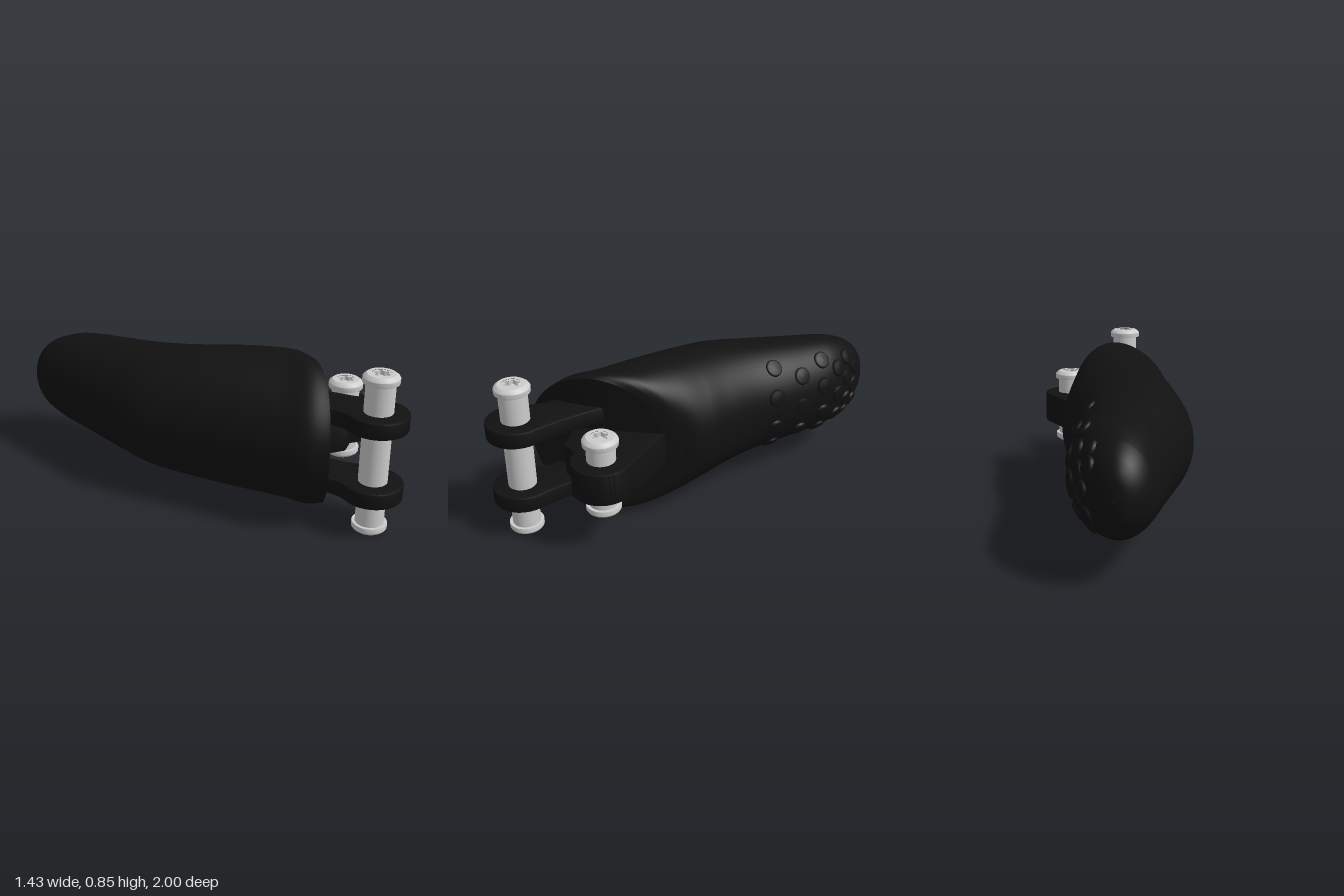
import * as THREE from 'three';
import { toCreasedNormals } from 'three/addons/utils/BufferGeometryUtils.js';
import { ParametricGeometry } from 'three/addons/geometries/ParametricGeometry.js';

const MID_Y = 0.43;
const black = new THREE.MeshStandardMaterial({ color: 0x111111 });
const metal = new THREE.MeshStandardMaterial({ color: 0xcccccc });

// Grip sections: left edge x,z | right edge x,z | half height, forward bulge
const SECTIONS = [
  [-0.615, -0.998, -0.605, -0.998, 0.005, 0],
  [-0.665, -0.97, -0.54, -0.998, 0.10, 0],
  [-0.70, -0.92, -0.46, -0.965, 0.17, 0],
  [-0.715, -0.84, -0.37, -0.905, 0.225, 0],
  [-0.69, -0.70, -0.26, -0.81, 0.27, 0],
  [-0.63, -0.48, -0.13, -0.62, 0.295, 0],
  [-0.57, -0.25, 0.02, -0.38, 0.32, 0],
  [-0.50, -0.02, 0.15, -0.23, 0.345, 0],
  [-0.38, 0.16, 0.25, -0.12, 0.365, 0.01],
  [-0.20, 0.40, 0.29, -0.05, 0.385, 0.04],
  [-0.02, 0.65, 0.305, 0.03, 0.397, 0.09],
  [0.07, 0.78, 0.312, 0.08, 0.40, 0.09],
  [0.165, 0.84, 0.315, 0.13, 0.385, 0.07],
];
const curve = (f) => new THREE.CatmullRomCurve3(SECTIONS.map(f));
const leftEdge = curve((s) => new THREE.Vector3(s[0], 0, s[1]));
const rightEdge = curve((s) => new THREE.Vector3(s[2], 0, s[3]));
const sizes = curve((s, i) => new THREE.Vector3(s[4], s[5], i * 0.1));

// Point on the grip at length u and angle a (0 = right edge)
function gripPoint(u, a, target = new THREE.Vector3()) {
  const t = THREE.MathUtils.clamp(u, 0, 1);
  const l = leftEdge.getPoint(t), r = rightEdge.getPoint(t), s = sizes.getPoint(t);
  const c = Math.cos(a), n = Math.sin(a);
  return target.set(
    (l.x + r.x) / 2 + (r.x - l.x) / 2 * c + s.y * n * n,
    MID_Y + s.x * n,
    (l.z + r.z) / 2 + (r.z - l.z) / 2 * c
  );
}

function add(parent, name, geometry, material) {
  const mesh = new THREE.Mesh(geometry, material);
  mesh.name = name;
  parent.add(mesh);
  return mesh;
}

// Flat plate with a plan outline in x,z
function plate(shape, y, thickness) {
  const bevel = 0.008;
  const g = new THREE.ExtrudeGeometry(shape, {
    depth: thickness - 2 * bevel, bevelThickness: bevel, bevelSize: bevel,
    bevelOffset: -bevel, bevelSegments: 2, curveSegments: 32,
  });
  g.rotateX(Math.PI / 2).translate(0, y + thickness / 2 - bevel, 0);
  return toCreasedNormals(g, 0.6);
}

// Pin with a shaft and a socketed button head at each end
function pin(name, x, z, y0, y1, radius) {
  const group = new THREE.Group();
  group.name = name;
  group.position.set(x, 0, z);
  const h = (y1 - y0) / 2;
  add(group, 'pinShaft', new THREE.CylinderGeometry(radius, radius, 2 * h - 0.05, 40), metal)
    .position.y = (y0 + y1) / 2;

  const profile = [[radius - 0.01, 0], [0.089, 0], [0.09, 0.004], [0.09, 0.026],
    [0.085, 0.034], [0.07, 0.045], [0.048, 0.045]].map((p) => new THREE.Vector2(...p));
  const rim = toCreasedNormals(new THREE.LatheGeometry(profile, 40), 0.5);

  // Six-lobed socket
  const face = new THREE.Shape().absarc(0, 0, 0.049, 0, Math.PI * 2);
  const star = [];
  for (let i = 0; i < 48; i++) {
    const a = i / 48 * Math.PI * 2, r = 0.036 + 0.006 * Math.cos(6 * a);
    star.push(new THREE.Vector2(r * Math.cos(a), r * Math.sin(a)));
  }
  face.holes.push(new THREE.Path(star));
  const socket = new THREE.ExtrudeGeometry(face, { depth: 0.024, bevelEnabled: false, curveSegments: 24 });
  socket.rotateX(-Math.PI / 2).translate(0, 0.019, 0);

  for (const end of [1, -1]) {
    const head = new THREE.Group();
    head.name = end > 0 ? 'upperHead' : 'lowerHead';
    head.position.y = (y0 + y1) / 2 + end * (h - 0.045);
    if (end < 0) head.rotation.x = Math.PI;
    add(head, 'headRim', rim, metal);
    add(head, 'headSocket', socket, metal);
    group.add(head);
  }
  return group;
}

export function createModel() {
  const model = new THREE.Group();
  model.name = 'footPeg';

  // Grip body and its curved end face
  add(model, 'gripBody', new ParametricGeometry(
    (u, v, t) => gripPoint(u, -2 * Math.PI * v, t), 80, 64), black);
  const centre = new THREE.Vector3(0.28, MID_Y, 0.47);
  add(model, 'gripEndFace', new ParametricGeometry(
    (u, v, t) => gripPoint(1, -2 * Math.PI * v, t).lerp(centre, u), 12, 64), black);

  // Staggered traction studs on the tread side
  const studs = new THREE.Group();
  studs.name = 'tractionStuds';
  const stud = new THREE.LatheGeometry(
    [[0.05, -0.02], [0.048, 0.004], [0.038, 0.011], [0, 0.013]].map((p) => new THREE.Vector2(...p)), 24);
  for (let row = 0; row < 6; row++) {
    const angles = row % 2 ? [-0.85, -0.3, 0.3, 0.85] : [-0.6, 0, 0.6];
    for (const a of angles) {
      const u = (2.5 + row * 0.62) / 12;
      const p = gripPoint(u, a);
      const du = gripPoint(u + 0.005, a).sub(p), da = gripPoint(u, a - 0.01).sub(p);
      const mesh = add(studs, 'stud', stud, black);
      mesh.position.copy(p);
      mesh.quaternion.setFromUnitVectors(new THREE.Vector3(0, 1, 0), du.cross(da).normalize());
    }
  }
  model.add(studs);

  // Twin clevis lugs for the long pin
  const clevis = new THREE.Shape();
  clevis.moveTo(0.18, 0.4).lineTo(0.19, 0.67).lineTo(0.25, 0.73).lineTo(0.275, 0.79);
  clevis.absarc(0.43, 0.85, 0.152, Math.PI, -0.75, true);
  clevis.lineTo(0.43, 0.62).lineTo(0.37, 0.53).lineTo(0.28, 0.4);
  add(model, 'lowerClevisLug', plate(clevis, 0.235, 0.085), black);
  add(model, 'upperClevisLug', plate(clevis, 0.61, 0.085), black);

  // Single stop lug for the short pin
  const stop = new THREE.Shape();
  stop.moveTo(0.18, 0.12).lineTo(0.31, 0.12);
  stop.absarc(0.56, 0.42, 0.152, -1.1, 1.95, false);
  stop.lineTo(0.43, 0.62).lineTo(0.3, 0.6).lineTo(0.18, 0.55);
  add(model, 'stopLug', plate(stop, 0.422, 0.175), black);

  model.add(pin('longPin', 0.43, 0.85, 0, 0.85, 0.073));
  model.add(pin('shortPin', 0.56, 0.42, 0.21, 0.64, 0.073));
  return model;
}
